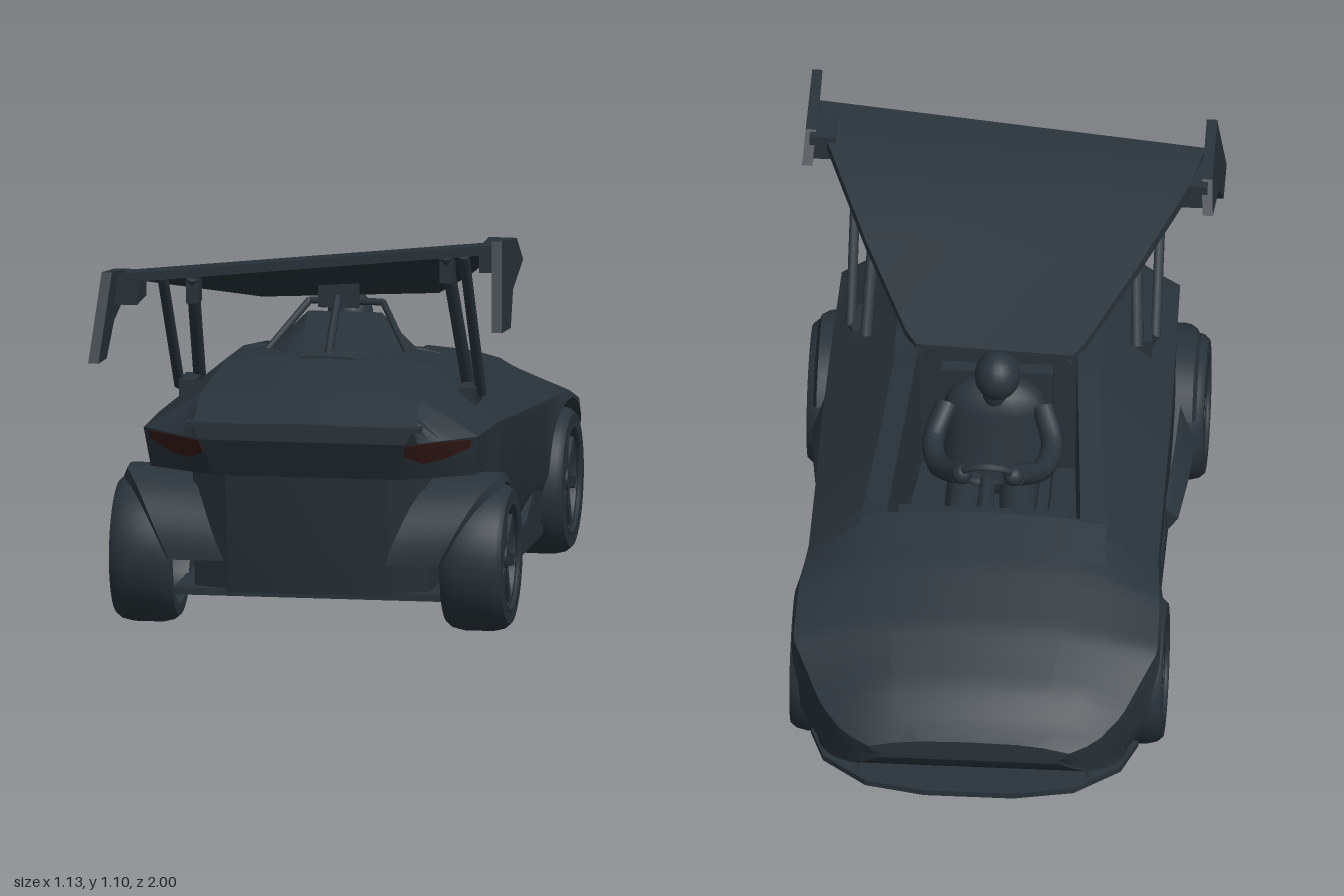
import * as THREE from 'three';
import { toCreasedNormals } from 'three/addons/utils/BufferGeometryUtils.js';

const paint = new THREE.MeshStandardMaterial({ color: 0x29333a });
paint.name = 'dark slate paint';
const lampRed = new THREE.MeshStandardMaterial({ color: 0x351b18 });
lampRed.name = 'dark red lamp';

// Surface through a row of closed rings, with both ends capped
function loft(rings, crease = 0.5) {
  const pos = [], n = rings[0].length;
  const tri = (a, b, c) => { if (a !== b && b !== c && a !== c) pos.push(...a, ...b, ...c); };
  const quad = (a, b, c, d) => { tri(a, b, c); tri(a, c, d); };
  for (let k = 0; k < rings.length - 1; k++)
    for (let i = 0; i < n; i++) {
      const j = (i + 1) % n;
      quad(rings[k][i], rings[k][j], rings[k + 1][j], rings[k + 1][i]);
    }
  const first = rings[0], last = rings[rings.length - 1];
  for (let i = 0; i < n / 2 - 1; i++) {
    quad(last[i], last[i + 1], last[n - 2 - i], last[n - 1 - i]);
    quad(first[n - 1 - i], first[n - 2 - i], first[i + 1], first[i]);
  }
  const g = new THREE.BufferGeometry();
  g.setAttribute('position', new THREE.Float32BufferAttribute(pos, 3));
  g.computeVertexNormals();
  return toCreasedNormals(g, crease);
}

const bothSides = (half) => [...half, ...half.filter((p) => p[0] > 1e-4).reverse().map(([x, y, z]) => [-x, y, z])];

// Copy reflected in x, with corner order kept outward
function mirrored(geo) {
  const g = geo.index ? geo.toNonIndexed() : geo.clone();
  g.scale(-1, 1, 1);
  for (const name of ['position', 'normal']) {
    const a = g.attributes[name], v = new THREE.Vector3(), w = new THREE.Vector3();
    for (let i = 0; i < a.count; i += 3) {
      v.fromBufferAttribute(a, i + 1); w.fromBufferAttribute(a, i + 2);
      a.setXYZ(i + 1, w.x, w.y, w.z); a.setXYZ(i + 2, v.x, v.y, v.z);
    }
  }
  return g;
}

// Flat plate standing in the z-y plane
function plateX(pts, x0, t) {
  const s = new THREE.Shape(pts.map(([z, y]) => new THREE.Vector2(-z, y)));
  return new THREE.ExtrudeGeometry(s, { depth: t, bevelEnabled: false }).rotateY(Math.PI / 2).translate(x0, 0, 0);
}

function rod(a, b, r, r2 = r, sides = 6) {
  const A = new THREE.Vector3(...a), B = new THREE.Vector3(...b), d = B.clone().sub(A);
  const g = new THREE.CylinderGeometry(r2, r, d.length(), sides);
  g.applyQuaternion(new THREE.Quaternion().setFromUnitVectors(new THREE.Vector3(0, 1, 0), d.normalize()));
  return g.translate(...A.add(B).multiplyScalar(0.5).toArray());
}

// Body keys: z, top y, edge x, edge y, belt x, belt y, low x, floor y
const KEYS = [
  [-0.985, 0.26, 0.2, 0.25, 0.27, 0.235, 0.26, 0.2],
  [-0.95, 0.31, 0.26, 0.29, 0.34, 0.25, 0.33, 0.15],
  [-0.88, 0.37, 0.30, 0.345, 0.405, 0.29, 0.395, 0.12],
  [-0.72, 0.46, 0.34, 0.43, 0.49, 0.39, 0.495, 0.1],
  [-0.55, 0.53, 0.34, 0.50, 0.485, 0.445, 0.495, 0.1],
  [-0.38, 0.585, 0.33, 0.555, 0.47, 0.45, 0.475, 0.1],
  [-0.1, 0.64, 0.30, 0.615, 0.468, 0.475, 0.458, 0.1],
  [0.15, 0.69, 0.28, 0.665, 0.468, 0.5, 0.455, 0.1],
  [0.45, 0.70, 0.28, 0.68, 0.462, 0.53, 0.46, 0.1],
  [0.74, 0.645, 0.30, 0.635, 0.455, 0.54, 0.44, 0.1],
  [0.88, 0.585, 0.30, 0.57, 0.28, 0.535, 0.25, 0.1],
];
function keyAt(z) {
  let i = 0;
  while (i < KEYS.length - 2 && z > KEYS[i + 1][0]) i++;
  const a = KEYS[i], b = KEYS[i + 1], t = (z - a[0]) / (b[0] - a[0]);
  return a.map((v, j) => v + (b[j] - v) * t);
}

// Right half of the body section, from floor edge up to the centre line
function bodyHalf(z) {
  const [, top, we, ye, wb, yb, wl, floor] = keyAt(z);
  const arch = (c, r) => (Math.abs(z - c) < r ? 0.2 + Math.sqrt(r * r - (z - c) ** 2) : 0);
  const high = Math.max(arch(-0.54, 0.222), z > 0.66 ? 0.43 : arch(0.66, 0.23));
  const well = high > 0;
  const low = Math.min(Math.max(high, floor + 0.02, z > -0.32 ? 0.25 : 0.2), yb - 0.015);
  const inner = well ? Math.min(0.32, wl - 0.03) : Math.min(0.41, wl - 0.02);
  const open = z > -0.38 && z < 0.22;
  const wc = open ? 0.26 - 0.08 * (z + 0.38) : we * 0.7;
  const rim = ye + (top - ye) * 0.6;
  const half = [
    [inner, floor], [well ? inner : wl - 0.02, well ? low : Math.max(floor + 0.01, low - 0.05)],
    [wl, low], [wb, yb], [we, ye], [wc, rim], [wc - 0.005, open ? 0.3 : rim + 0.001], [0, open ? 0.3 : top],
  ];
  // Undercut tail, steep just below the lamps
  const tail = Math.max(0, (z - 0.6) / 0.28);
  const lean = (y) => tail * (0.8 * Math.min(0.1, Math.max(0, 0.5 - y)) + 0.13 * Math.max(0, 0.4 - y));
  return half.map(([x, y]) => [x, y, z - lean(y)]);
}

function wheel(name, x0, x1, z) {
  const g = new THREE.Group(), w = x1 - x0, h = w / 2;
  g.name = name;
  const part = (n, geo) => { const m = new THREE.Mesh(geo, paint); m.name = n; g.add(m); };
  const profile = [[0.148, -h], [0.18, -h], [0.193, -h + 0.015], [0.2, -h + 0.045], [0.2, h - 0.045],
    [0.193, h - 0.015], [0.18, h], [0.148, h], [0.14, h - 0.02], [0.14, -h + 0.02], [0.148, -h]];
  const tire = new THREE.LatheGeometry(profile.map((p) => new THREE.Vector2(...p)), 40).rotateZ(-Math.PI / 2);
  part('tire', toCreasedNormals(tire, 0.6));
  part('rimRing', new THREE.TorusGeometry(0.144, 0.008, 6, 40).rotateY(Math.PI / 2).translate(h - 0.006, 0, 0));
  part('hub', new THREE.CylinderGeometry(0.03, 0.035, 0.05, 14).rotateZ(-Math.PI / 2).translate(h - 0.035, 0, 0));
  part('brakeDisc', new THREE.CylinderGeometry(0.125, 0.125, 0.02, 28).rotateZ(-Math.PI / 2).translate(-0.01, 0, 0));
  part('axle', new THREE.CylinderGeometry(0.025, 0.025, w, 10).rotateZ(Math.PI / 2).translate(-0.02, 0, 0));
  for (let i = 0; i < 7; i++) {
    const spoke = plateX([[-0.016, 0.02], [-0.016, 0.142], [0.016, 0.142], [0.016, 0.02]], h - 0.035, 0.02);
    part('spoke', spoke.rotateX((i * Math.PI * 2) / 7));
  }
  g.position.set((x0 + x1) / 2, 0.2, z);
  return g;
}

export function createModel() {
  const car = new THREE.Group();
  car.name = 'openCockpitCar';
  const add = (name, geo, mat = paint) => {
    const m = new THREE.Mesh(geo, mat);
    m.name = name; car.add(m);
  };
  const pair = (name, geo, mat) => { add(name + 'Left', geo, mat); add(name + 'Right', mirrored(geo), mat); };
  const box = (w, h, d, x, y, z) => new THREE.BoxGeometry(w, h, d).translate(x, y, z);

  // Body shell with cockpit opening and wheel arches
  const zs = [-0.381, -0.379, 0.219, 0.221, -0.763, -0.761, -0.319, -0.317, 0.429, 0.431, 0.74];
  for (let i = 0; i <= 80; i++) zs.push(-0.985 + (1.865 * i) / 80);
  add('bodyShell', loft(zs.sort((a, b) => a - b).map((z) => bothSides(bodyHalf(z))), 0.4));
  add('tailLip', box(0.64, 0.014, 0.04, 0, 0.575, 0.862));
  add('rearDiffuser', box(0.74, 0.02, 0.3, 0, 0.1, 0.61));

  // Nose splitter
  const edge = [[0.12, -1], [0.28, -0.965], [0.4, -0.86], [0.44, -0.74], [0.3, -0.7]];
  const outline = [...edge, ...edge.map(([x, z]) => [-x, z]).reverse()];
  const splitter = new THREE.Shape(outline.map(([x, z]) => new THREE.Vector2(x, -z)));
  add('frontSplitter', new THREE.ExtrudeGeometry(splitter, { depth: 0.016, bevelEnabled: false })
    .rotateX(-Math.PI / 2).translate(0, 0.09, 0));
  pair('splitterFin', plateX([[-0.93, 0.1], [-0.91, 0.17], [-0.8, 0.24], [-0.78, 0.1]], 0.3, 0.015));

  // Side skirts, fins and the pods ahead of the rear wheels
  pair('skirt', box(0.06, 0.02, 0.8, 0.425, 0.1, 0.08));
  pair('sideFin', plateX([[0.3, 0.1], [0.16, 0.19], [0.14, 0.25], [0.12, 0.16], [-0.05, 0.17], [-0.2, 0.25],
    [-0.33, 0.25], [-0.28, 0.1]], 0.425, 0.03));
  pair('sidePod', loft([[0.2, 0.485, 0.12, 0.2], [0.34, 0.505, 0.11, 0.28], [0.44, 0.515, 0.11, 0.36]]
    .map(([z, x, y0, y1]) => [[x - 0.03, y0, z], [x, (y0 + y1) / 2, z], [x - 0.04, y1, z], [0.4, y1, z], [0.4, y0, z]])));

  // Rear fenders wrapped over the wheels, narrowing inward behind them
  const fender = [];
  for (let i = 0; i <= 14; i++) {
    const a = THREE.MathUtils.degToRad(25 + i * 11), t = Math.max(0, (i - 7) / 7);
    const out = 0.515 - 0.14 * t, inn = 0.33 - 0.11 * t, r = 0.227 - 0.018 * t;
    fender.push([[out, r - 0.025], [out - 0.01, r], [inn, r], [inn, r - 0.025]]
      .map(([x, q]) => [x, 0.2 + q * Math.sin(a), 0.66 - q * Math.cos(a)]));
  }
  pair('rearFender', loft(fender));

  // Wheels
  for (const [name, x0, x1, z] of [['frontWheel', 0.335, 0.5, -0.54], ['rearWheel', 0.365, 0.533, 0.66]]) {
    car.add(wheel(name + 'Left', x0, x1, z));
    const right = wheel(name + 'Right', x0, x1, z);
    right.position.x *= -1;
    right.rotation.y = Math.PI;
    car.add(right);
  }

  // Tail lamps lying on the angled rear corners: z, lower and upper share of the panel below the belt
  const lamp = [[0.755, 0.75, 0.95], [0.8, 0.5, 0.97], [0.84, 0.42, 0.98], [0.862, 0.55, 0.98], [0.879, 0.65, 0.98]];
  pair('tailLamp', loft(lamp.map(([z, t0, t1]) => {
    const half = bodyHalf(z);
    const on = (t, d) => half[2].map((v, i) => v + (half[3][i] - v) * t + d * [0.6, 0, 0.8][i]);
    return [on(t0, 0.006), on(t1, 0.006), on(t1, -0.003), on(t0, -0.003)];
  })), lampRed);

  // Fairing and roll hoop behind the driver
  add('headFairing', loft([[0.18, 0.2, 0.1, 0.77], [0.3, 0.2, 0.09, 0.745], [0.48, 0.14, 0.06, 0.7]]
    .map(([z, w, wt, y]) => bothSides([[w, 0.67, z], [wt, y, z]]))));
  pair('rollHoopLeg', rod([0.2, 0.67, 0.32], [0.1, 0.795, 0.16], 0.01));
  add('rollHoopBar', rod([-0.1, 0.795, 0.16], [0.1, 0.795, 0.16], 0.01));
  add('centreStrut', rod([0, 0.66, 0.5], [0, 0.83, 0.3], 0.012));
  add('centreStrutPad', box(0.11, 0.07, 0.02, 0, 0.835, 0.285));

  // Raised canopy wing, rolled to one side
  const wingY = (x, z) => 0.805 + 0.33 * (Math.min(z, 0.64) - 0.04) + Math.max(0, z - 0.64) * 0.1
    + x * (0.04 + 0.065 * Math.min(1, z / 0.64));
  add('canopyWing', loft([[0.05, 0.21, 0.012], [0.09, 0.24, 0.022], [0.35, 0.365, 0.028], [0.64, 0.49, 0.03], [0.79, 0.52, 0.025]]
    .map(([z, w, t]) => [[w, wingY(w, z) - t, z], [w, wingY(w, z), z],
      [-w, wingY(-w, z), z], [-w, wingY(-w, z) - t, z]]), 0.3));
  for (const s of [1, -1]) {
    const side = s > 0 ? 'Left' : 'Right', dy = s > 0 ? 0 : -0.115;
    // End plates splayed outward at the foot
    const pts = [[1, 0.87], [0.89, 1.1], [0.66, 1.07], [0.59, 1], [0.78, 0.95], [0.86, 0.86]];
    const splay = new THREE.Matrix4().makeShear(0, 0, -s * 0.08, 0, 0, 0);
    add('endPlate' + side, plateX(pts.map(([z, y]) => [z, y + dy]), s * 0.54 - 0.014, 0.028)
      .applyMatrix4(splay).translate(s * 0.08 * (0.98 + dy), 0, 0));
    add('endPlateMount' + side, box(0.07, 0.07, 0.16, s * 0.5, 1.03 + dy, 0.71));
    // Wing struts
    const topY = (z) => wingY(s * 0.38, z) - 0.025;
    add('strutBase' + side, box(0.045, 0.07, 0.12, s * 0.38, 0.59, 0.42));
    add('outerStrut' + side, rod([s * 0.41, 0.6, 0.42], [s * 0.41, topY(0.7), 0.7], 0.015));
    add('innerStrut' + side, rod([s * 0.365, 0.61, 0.36], [s * 0.345, topY(0.6), 0.6], 0.018));
    add('strutFoot' + side, rod([s * 0.38, 0.55, 0.42], [s * 0.41, 0.61, 0.42], 0.012));
    add('strutBracket' + side, box(0.035, 0.07, 0.05, s * 0.345, topY(0.58) - 0.03, 0.58));
  }

  // Seat, dash and steering yoke
  add('seatBack', box(0.3, 0.36, 0.05, 0, 0.47, 0.19));
  add('seatCushion', box(0.3, 0.06, 0.3, 0, 0.33, 0.05));
  add('dash', box(0.46, 0.1, 0.04, 0, 0.52, -0.36));
  add('steeringColumn', rod([0, 0.53, -0.38], [0, 0.57, -0.22], 0.028, 0.022));
  const yoke = new THREE.TorusGeometry(0.07, 0.011, 8, 24).scale(1, 0.7, 1).rotateX(-0.5);
  add('steeringYoke', yoke.translate(0, 0.59, -0.22));

  // Driver
  add('driverTorso', new THREE.CapsuleGeometry(0.1, 0.16, 6, 16).scale(1.4, 1, 0.75).rotateX(0.2).translate(0, 0.5, 0.09));
  add('driverNeck', rod([0, 0.62, 0.08], [0, 0.71, 0.05], 0.035, 0.03, 12));
  add('driverHelmet', new THREE.SphereGeometry(0.062, 20, 14).scale(1, 1.1, 1.1).translate(-0.01, 0.737, 0.035));
  const arm = new THREE.CatmullRomCurve3([[0.13, 0.6, 0.08], [0.16, 0.54, 0.0], [0.14, 0.53, -0.1], [0.075, 0.585, -0.21]]
    .map((p) => new THREE.Vector3(...p)));
  pair('driverArm', new THREE.TubeGeometry(arm, 16, 0.03, 10));
  pair('driverHand', new THREE.SphereGeometry(0.028, 12, 8).translate(0.07, 0.59, -0.22));
  pair('driverLeg', rod([0.07, 0.39, 0.05], [0.08, 0.4, -0.33], 0.055, 0.04, 12));
  return car;
}
